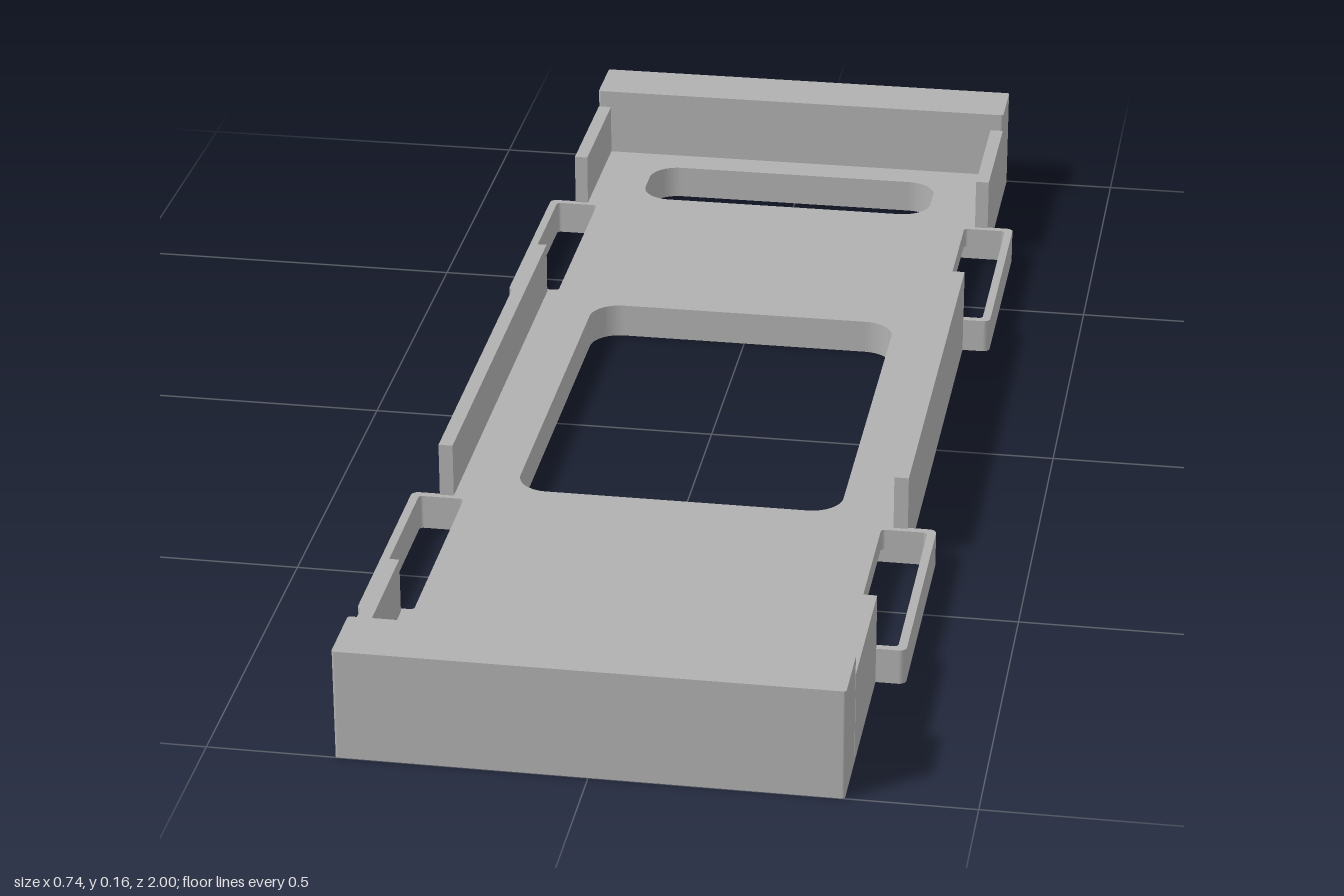
import * as THREE from 'three';

const FLOOR = 0.05;    // top of the base plate
const GROOVE = 0.02;   // depth of the strap channel underneath
const grey = new THREE.MeshStandardMaterial({ color: 0xb0b0b0 });
grey.name = 'plain grey';

// Rounded rectangle in plan; works for outlines and holes
function rect(x0, x1, z0, z1, r, Type = THREE.Shape) {
  const s = new Type();
  if (!r) {
    s.moveTo(x0, z0).lineTo(x1, z0).lineTo(x1, z1).lineTo(x0, z1).closePath();
    return s;
  }
  s.absarc(x1 - r, z0 + r, r, -Math.PI / 2, 0);
  s.absarc(x1 - r, z1 - r, r, 0, Math.PI / 2);
  s.absarc(x0 + r, z1 - r, r, Math.PI / 2, Math.PI);
  s.absarc(x0 + r, z0 + r, r, Math.PI, Math.PI * 1.5);
  s.closePath();
  return s;
}

const cut = (x0, x1, z0, z1, r) => rect(x0, x1, z0, z1, r, THREE.Path);

// Flat slab between two heights, with holes straight through
function slab(name, outline, holes, y0, y1) {
  outline.holes.push(...holes);
  const g = new THREE.ExtrudeGeometry(outline, { depth: y1 - y0, bevelEnabled: false, curveSegments: 8 });
  g.rotateX(-Math.PI / 2).translate(0, y0, 0);
  const m = new THREE.Mesh(g, grey);
  m.name = name;
  return m;
}

// Box given by its limits
function block(name, x0, x1, y0, y1, z0, z1) {
  const g = new THREE.BoxGeometry(x1 - x0, y1 - y0, z1 - z0);
  g.translate((x0 + x1) / 2, (y0 + y1) / 2, (z0 + z1) / 2);
  const m = new THREE.Mesh(g, grey);
  m.name = name;
  return m;
}

// One half-end of the tray, built towards -z and turned for the other end
function endAssembly(name) {
  const end = new THREE.Group();
  end.name = name;

  // Strap section: plate with two side slots, and a frame below it
  end.add(slab('strapPlate', rect(-0.37, 0.37, 0.345, 0.695, 0.01), [
    cut(0.294, 0.358, 0.356, 0.684, 0.006),
    cut(-0.358, -0.294, 0.356, 0.684, 0.006),
  ], GROOVE, FLOOR));
  end.add(slab('strapFrame', rect(-0.37, 0.37, 0.345, 0.695, 0.01),
    [cut(-0.358, 0.358, 0.356, 0.684, 0.006)], 0, GROOVE));

  // Floor with the long rounded slot
  end.add(slab('endFloor', rect(-0.33, 0.33, 0.695, 0.905, 0),
    [cut(-0.23, 0.23, 0.725, 0.855, 0.045)], 0, FLOOR));

  // End block with two blind screw holes underneath
  const screwHoles = [-0.13, 0.13].map((x) => new THREE.Path().absarc(x, 0.953, 0.017, 0, Math.PI * 2));
  end.add(slab('endBlock', rect(-0.33, 0.33, 0.905, 1, 0.004), screwHoles, 0, 0.11));
  end.add(slab('endBlockTop', rect(-0.33, 0.33, 0.905, 1, 0.004), [], 0.11, 0.155));

  // Short side walls
  for (const s of [-1, 1]) {
    end.add(block('shortSideWall', s * 0.32 - 0.01, s * 0.32 + 0.01, FLOOR, 0.128, -0.905, -0.692));
  }
  return end;
}

export function createModel() {
  const model = new THREE.Group();
  model.name = 'strapTray';

  // Middle floor with the large window
  model.add(slab('middleFloor', rect(-0.33, 0.33, -0.345, 0.345, 0),
    [cut(-0.23, 0.23, -0.315, 0.315, 0.045)], 0, FLOOR));

  // Long side walls
  for (const s of [-1, 1]) {
    model.add(block('longSideWall', s * 0.32 - 0.01, s * 0.32 + 0.01, FLOOR, 0.128, -0.348, 0.348));
  }

  // Both ends
  const back = endAssembly('backEnd');
  const front = endAssembly('frontEnd');
  front.rotation.y = Math.PI;
  model.add(back, front);
  return model;
}
